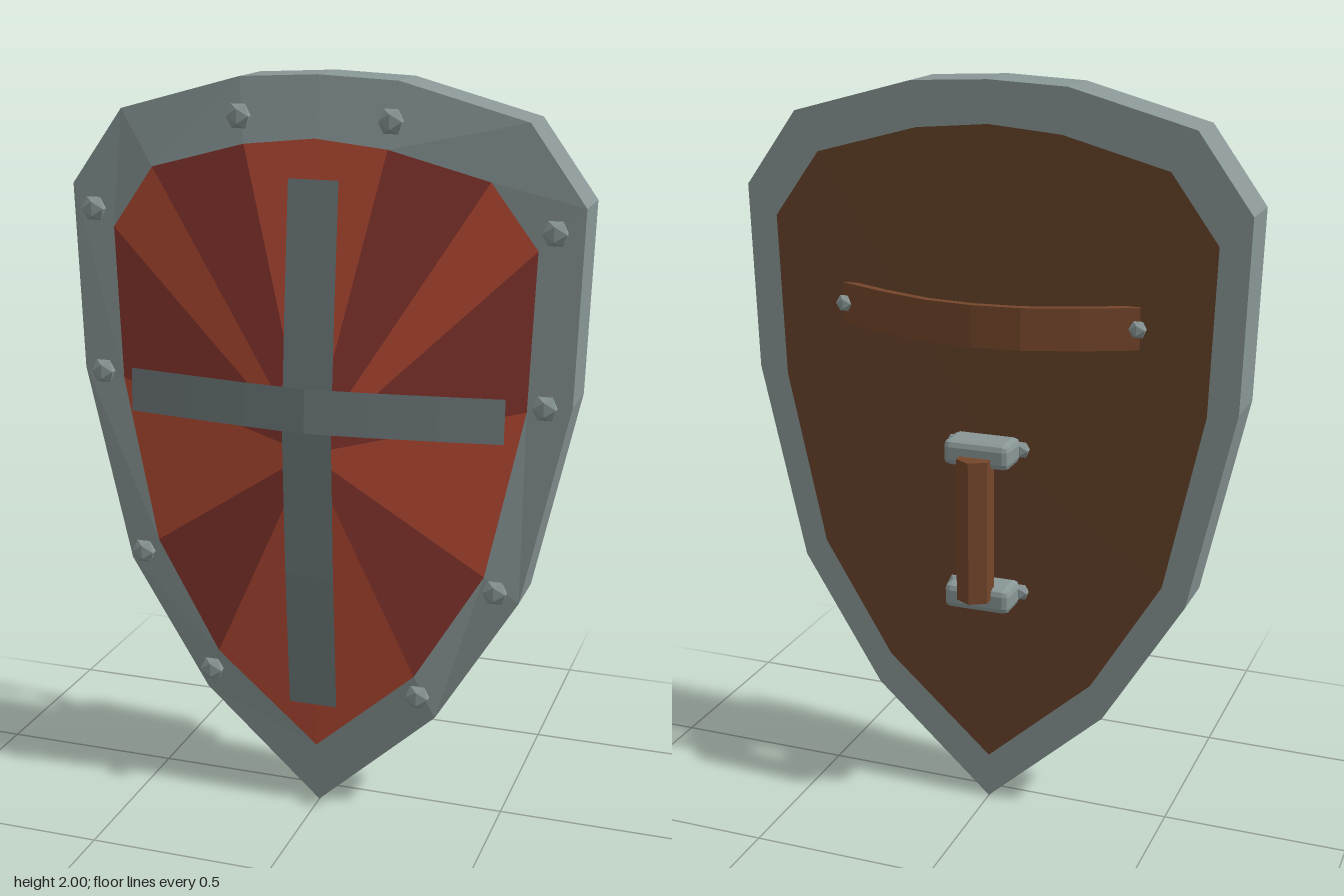
import * as THREE from 'three';
import { RoundedBoxGeometry } from 'three/addons/geometries/RoundedBoxGeometry.js';

const material = (color, side = THREE.FrontSide) =>
  new THREE.MeshStandardMaterial({ color, side, flatShading: true });

// Half outlines [x, y, z] from the top point down to the tip
const OUTER = [[0, 2, 0.09], [0.21, 1.99, 0.09], [0.54, 1.9, 0.09], [0.685, 1.7, 0.09],
  [0.67, 1.2, 0.09], [0.55, 0.66, 0.09], [0.33, 0.3, 0.09], [0, 0, 0.09]];
const INNER = [[0, 1.845, 0.118], [0.19, 1.825, 0.118], [0.45, 1.755, 0.105], [0.57, 1.59, 0.093],
  [0.555, 1.18, 0.095], [0.46, 0.73, 0.11], [0.28, 0.43, 0.128], [0, 0.18, 0.115]];

// Mirror a half outline into a closed loop, counter-clockwise from the front
const loopOf = (half) => [
  ...half.map(([x, y, z]) => [-x, y, z]),
  ...half.slice(1, -1).reverse(),
];
const atDepth = (loop, z) => loop.map(([x, y]) => [x, y, z]);

function geometryFrom(triangles) {
  const geometry = new THREE.BufferGeometry();
  geometry.setAttribute('position', new THREE.Float32BufferAttribute(triangles.flat(), 3));
  geometry.computeVertexNormals();
  return geometry;
}

// Skin neighbouring loops with quads
function bridge(loops) {
  const tris = [];
  for (let k = 0; k < loops.length - 1; k++) {
    const a = loops[k], b = loops[k + 1];
    a.forEach((p, i) => {
      const j = (i + 1) % a.length;
      tris.push(p, b[i], a[j], b[i], b[j], a[j]);
    });
  }
  return geometryFrom(tris);
}

// Triangles from a centre point to the edges of a loop
const wedges = (center, loop) =>
  loop.map((p, i) => [center, p, loop[(i + 1) % loop.length]]);

// Thin strip following a path, widened along one direction
function strip(path, wide) {
  const shift = (p, s) => p.map((v, i) => v + s * wide[i]);
  const tris = [];
  for (let i = 0; i < path.length - 1; i++) {
    const a = shift(path[i], -1), b = shift(path[i + 1], -1);
    const c = shift(path[i + 1], 1), d = shift(path[i], 1);
    tris.push(a, b, c, a, c, d);
  }
  return geometryFrom(tris);
}

export function createModel() {
  const model = new THREE.Group();
  const metal = material(0x8a9797);
  const plate = material(0x6f7a7b, THREE.DoubleSide);
  const reds = [material(0xb84c35), material(0x8c3830)];
  const backing = material(0x68432a);
  const leather = material(0x74462b);

  function add(name, geometry, mat, x = 0, y = 0, z = 0) {
    const mesh = new THREE.Mesh(geometry, mat);
    mesh.name = name;
    mesh.position.set(x, y, z);
    model.add(mesh);
    return mesh;
  }

  // Rim: sloped front band, outer wall and narrower back band
  const outer = loopOf(OUTER), inner = loopOf(INNER);
  const outerBack = atDepth(outer, -0.06);
  const innerBack = outer.map(([x, y], i) => [
    x + (inner[i][0] - x) * 0.71, y + (inner[i][1] - y) * 0.71, -0.06]);
  add('rim', bridge([inner, outer, outerBack, innerBack]), metal);

  // Front panel in wedges of two reds, mirrored about the middle
  const front = wedges([0, 1.04, 0.174], inner);
  const toneOf = (i) => Math.min(i, front.length - 1 - i) % 2;
  reds.forEach((red, tone) => {
    const faces = front.filter((_, i) => toneOf(i) === tone).flat();
    add(tone ? 'darkPanelWedges' : 'lightPanelWedges', geometryFrom(faces), red);
  });

  // Back panel
  const back = wedges([0, 1.04, -0.054], innerBack).flatMap(([c, p, q]) => [c, q, p]);
  add('backPanel', geometryFrom(back), backing);

  // Bent cross bands
  const across = [[-0.51, 0.143], [-0.34, 0.168], [-0.17, 0.191], [0, 0.208],
    [0.17, 0.191], [0.34, 0.168], [0.51, 0.143]].map(([x, z]) => [x, 1.163, z]);
  add('crossBandHorizontal', strip(across, [0, 0.058, -0.004]), plate);
  const down = [[1.745, 0.13], [1.42, 0.163], [1.1, 0.19], [0.7, 0.172], [0.315, 0.143]]
    .map(([y, z]) => [0, y, z]);
  add('crossBandVertical', strip(down, [0.067, 0, 0]), plate);

  // Rivets around the rim
  const rivet = new THREE.IcosahedronGeometry(0.036, 0).scale(1, 1, 0.52);
  const rivetSpots = [[0.2, 1.895, 0.126], [0.615, 1.64, 0.117], [0.605, 1.2, 0.117],
    [0.495, 0.7, 0.134], [0.295, 0.38, 0.144]];
  for (const side of [-1, 1]) {
    for (const [x, y, z] of rivetSpots) add('rimRivet', rivet, metal, side * x, y, z);
  }

  // Hand grip between two brackets
  add('grip', new THREE.CylinderGeometry(0.05, 0.05, 0.395, 6), leather, 0, 0.843, -0.158);
  const stud = new THREE.IcosahedronGeometry(0.025, 0).scale(1, 1, 0.7);
  for (const y of [1.045, 0.64]) {
    add('gripBracket', new RoundedBoxGeometry(0.185, 0.07, 0.105, 1, 0.018), metal, 0, y, -0.107);
    for (const side of [-1, 1]) add('bracketStud', stud, metal, side * 0.094, y, -0.063);
  }

  // Bowed arm strap
  const bow = [[0.41, 0.065], [0.27, 0.127], [0.13, 0.174], [0, 0.187]];
  const outside = [...bow, ...bow.slice(0, -1).reverse().map(([x, d]) => [-x, d])];
  const inside = outside.map(([x, d]) => [x * 0.98, d - 0.022]).reverse();
  const profile = new THREE.Shape([...outside, ...inside].map(([x, d]) => new THREE.Vector2(x, d)));
  const strap = new THREE.ExtrudeGeometry(profile, { depth: 0.11, bevelEnabled: false });
  add('armStrap', strap.rotateX(-Math.PI / 2), leather, 0, 1.345, 0);
  for (const side of [-1, 1]) add('strapStud', stud, metal, side * 0.405, 1.4, -0.07);

  return model;
}
